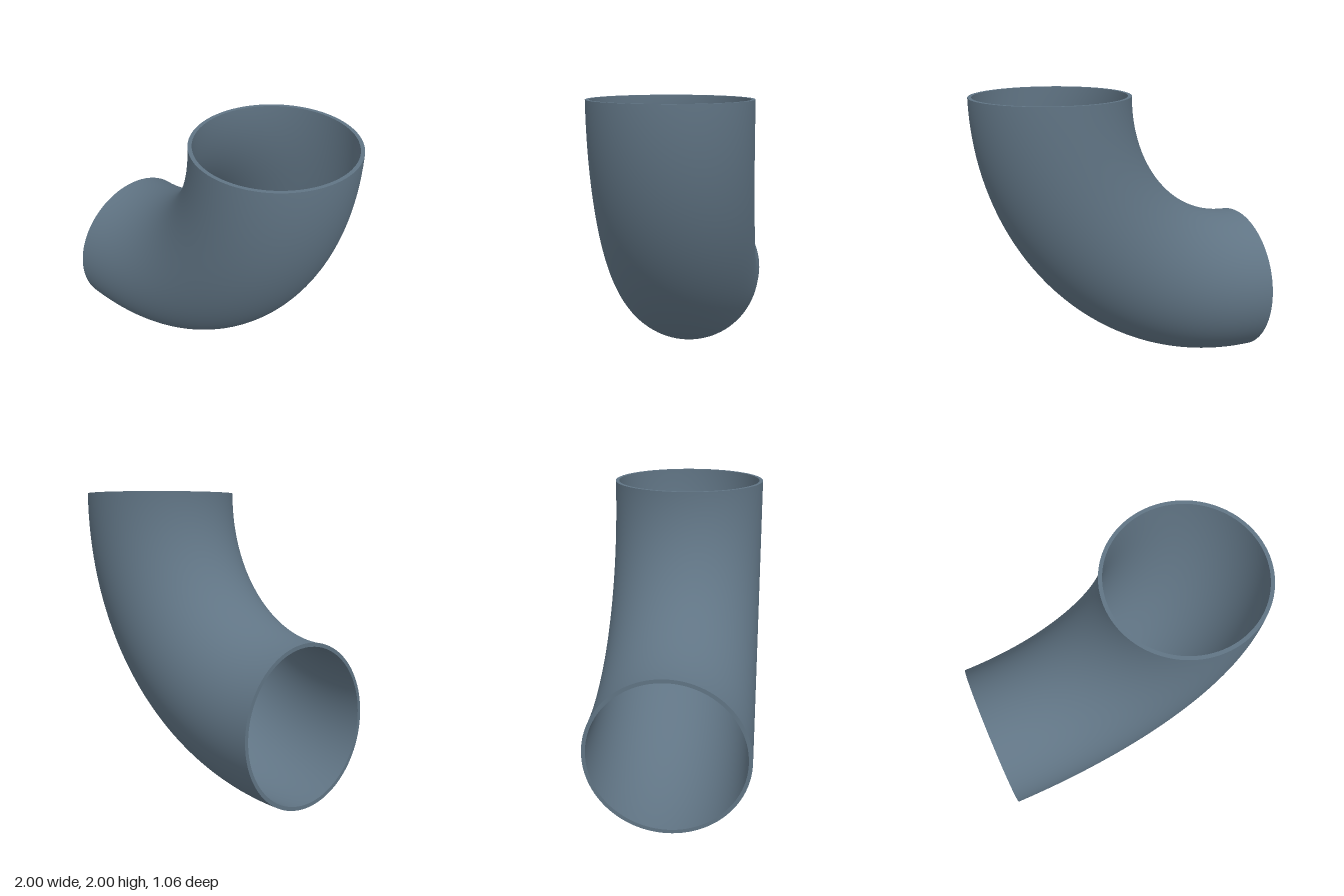
import * as THREE from 'three';

const BEND = 1.47; // bend radius of the centre line
const OUTER = 0.53;
const INNER = 0.505;
const SIDES = 96;
const STEPS = 64;

// Quarter torus from the side mouth (-x) up to the top mouth (+y)
function quarterBend(radius, inward) {
  const g = new THREE.TorusGeometry(BEND, radius, SIDES, STEPS, Math.PI / 2);
  g.rotateZ(-Math.PI / 2);
  g.translate(-1, 2, 0);
  if (inward) {
    // Turn the faces and normals towards the bore
    const index = g.index.array;
    for (let i = 0; i < index.length; i += 3) {
      [index[i + 1], index[i + 2]] = [index[i + 2], index[i + 1]];
    }
    const n = g.attributes.normal;
    for (let i = 0; i < n.count; i++) n.setXYZ(i, -n.getX(i), -n.getY(i), -n.getZ(i));
  }
  return g;
}

export function createModel() {
  const pipe = new THREE.Group();
  pipe.name = 'pipeElbow';
  const material = new THREE.MeshStandardMaterial({ color: 0x607484 });

  const add = (name, geometry) => {
    const mesh = new THREE.Mesh(geometry, material);
    mesh.name = name;
    pipe.add(mesh);
    return mesh;
  };

  // Pipe wall
  add('outerWall', quarterBend(OUTER, false));
  add('innerWall', quarterBend(INNER, true));

  // Flat rims closing the wall at both mouths
  const rim = new THREE.RingGeometry(INNER, OUTER, SIDES);
  const topRim = add('topRim', rim);
  topRim.rotation.x = -Math.PI / 2;
  topRim.position.set(BEND - 1, 2, 0);

  const sideRim = add('sideRim', rim);
  sideRim.rotation.y = -Math.PI / 2;
  sideRim.position.set(-1, 2 - BEND, 0);

  return pipe;
}
